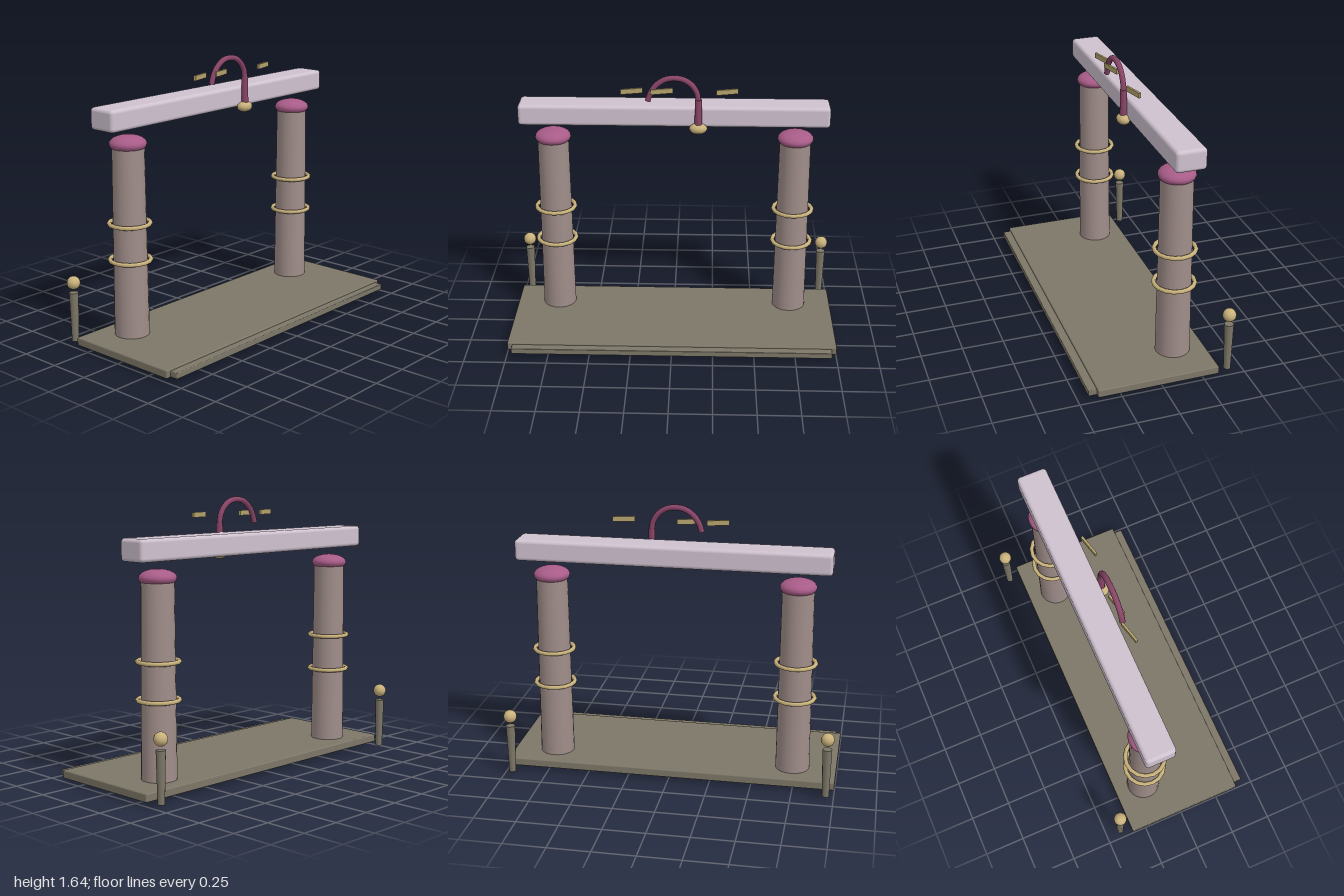
import * as THREE from 'three';
import { RoundedBoxGeometry } from 'three/addons/geometries/RoundedBoxGeometry.js';

const mat = (color) => new THREE.MeshStandardMaterial({ color });
const stone = mat(0x7d7768), pillar = mat(0xa08e8a), pale = mat(0xcfc2cf);
const plum = mat(0xa85c88), darkPlum = mat(0x8a4568), gold = mat(0xc9b27c), brass = mat(0xb3a26c);

export function createModel() {
  const model = new THREE.Group();
  const add = (name, geometry, material, x, y, z, parent = model) => {
    const mesh = new THREE.Mesh(geometry, material);
    mesh.name = name;
    mesh.position.set(x, y, z);
    parent.add(mesh);
    return mesh;
  };

  // Platform with a narrow front step and a slightly turned plate underneath
  add('platform', new RoundedBoxGeometry(2, 0.05, 0.73, 2, 0.008), stone, 0, 0.045, 0.025);
  add('frontStep', new RoundedBoxGeometry(1.94, 0.036, 0.12, 2, 0.005), stone, 0, 0.041, 0.38);
  const plate = add('undersidePlate', new THREE.BoxGeometry(0.78, 0.01, 0.32), brass, 0, 0.0225, 0.09);
  plate.rotation.y = 0.13;

  // Matching column and corner post on each side
  for (const side of [-1, 1]) {
    const column = new THREE.Group();
    column.name = side > 0 ? 'leftColumn' : 'rightColumn';
    column.position.set(side * 0.735, 0, -0.152);
    model.add(column);
    add('shaft', new THREE.CylinderGeometry(0.094, 0.103, 1.15, 24), pillar, 0, 0.625, 0, column);
    add('cap', new THREE.SphereGeometry(0.109, 24, 14), plum, 0, 1.21, 0, column).scale.y = 0.46;
    add('foot', new THREE.SphereGeometry(0.1, 24, 14), plum, 0, 0.05, 0, column).scale.y = 0.5;
    for (const y of [0.525, 0.743]) {
      add('ring', new THREE.TorusGeometry(0.119, 0.013, 8, 16), gold, 0, y, 0, column).rotation.x = Math.PI / 2;
    }

    const post = new THREE.Group();
    post.name = side > 0 ? 'leftPost' : 'rightPost';
    post.position.set(side * 0.953, 0, -0.408);
    model.add(post);
    add('stake', new THREE.CylinderGeometry(0.028, 0.021, 0.3, 12), stone, 0, 0.168, 0, post);
    add('knob', new THREE.SphereGeometry(0.04, 14, 10), gold, 0, 0.378, 0, post);
  }

  // Lintel across the columns
  add('lintel', new RoundedBoxGeometry(1.865, 0.128, 0.182, 3, 0.022), pale, 0, 1.37, -0.156);

  // Hook: upright stem, curved arm and flattened knob
  const hookZ = -0.046;
  add('hookStem', new THREE.CylinderGeometry(0.02, 0.022, 0.18, 12), darkPlum, 0.147, 1.4, hookZ);
  const arc = new THREE.CatmullRomCurve3(
    [[0.147, 1.47], [0.138, 1.53], [0.105, 1.582], [0.055, 1.613], [0, 1.621],
      [-0.055, 1.61], [-0.103, 1.576], [-0.135, 1.53], [-0.152, 1.48]]
      .map(([x, y]) => new THREE.Vector3(x, y, 0)));
  add('hookArm', new THREE.TubeGeometry(arc, 32, 0.017, 10), darkPlum, 0, 0, hookZ);
  const tip = add('hookTip', new THREE.CircleGeometry(0.017, 10), darkPlum, -0.152, 1.48, hookZ);
  tip.rotation.x = Math.PI / 2;
  add('hookKnob', new THREE.SphereGeometry(0.055, 12, 8), gold, 0.147, 1.308, hookZ).scale.set(1, 0.6, 0.75);

  // Small floating bars beside the hook
  for (const x of [-0.248, -0.07, 0.315]) {
    add('floatingBar', new THREE.BoxGeometry(0.132, 0.03, 0.014), brass, x, 1.54, hookZ).rotation.y = 0.25;
  }

  return model;
}
